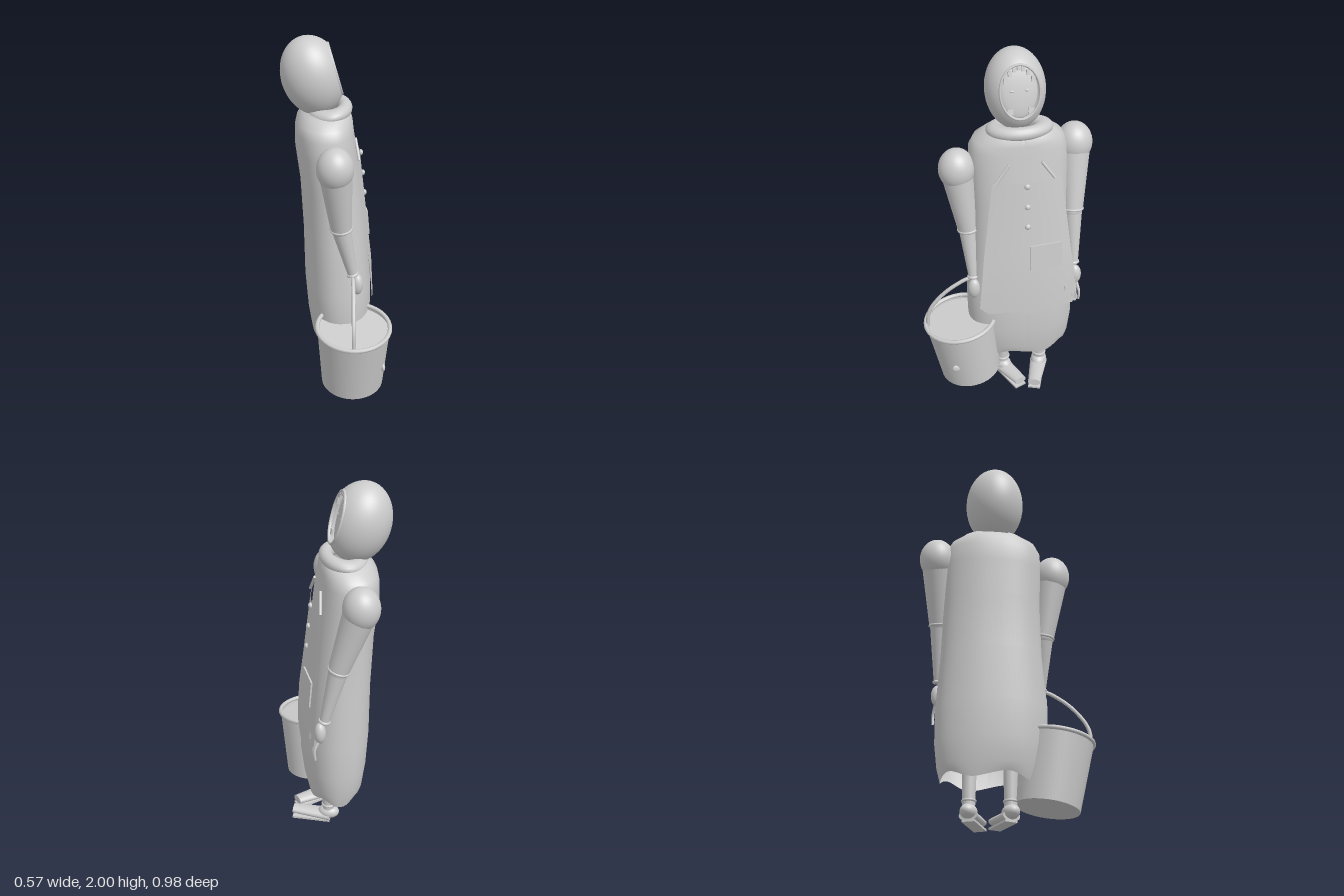
import * as THREE from 'three';

const V = (x, y, z) => new THREE.Vector3(x, y, z);

export function createModel() {
  const root = new THREE.Group();
  root.name = 'figureWithBucket';
  const clay = new THREE.MeshStandardMaterial({ color: 0xcccccc, side: THREE.DoubleSide });
  clay.name = 'pale grey';

  const add = (name, geo, parent = root, pos = [0, 0, 0]) => {
    const m = new THREE.Mesh(geo, clay);
    m.name = name;
    m.position.set(...pos);
    parent.add(m);
    return m;
  };
  const ball = (name, r, pos, parent = root) => {
    const m = add(name, new THREE.SphereGeometry(1, 32, 20), parent, pos);
    m.scale.set(...r);
    return m;
  };
  // tapered round limb between two points
  const limb = (name, a, b, ra, rb, parent = root) => {
    const d = b.clone().sub(a);
    const m = add(name, new THREE.CylinderGeometry(rb, ra, d.length(), 24), parent);
    m.position.copy(a).addScaledVector(d, 0.5);
    m.quaternion.setFromUnitVectors(V(0, 1, 0), d.normalize());
    return m;
  };
  // ring whose axis follows a direction
  const ring = (name, at, axis, r, tube, parent = root) => {
    const m = add(name, new THREE.TorusGeometry(r, tube, 10, 40), parent);
    m.position.copy(at);
    m.quaternion.setFromUnitVectors(V(0, 0, 1), axis.clone().normalize());
    return m;
  };
  const tube = (name, pts, r, parent = root) =>
    add(name, new THREE.TubeGeometry(new THREE.CatmullRomCurve3(pts), 32, r, 8), parent);
  // sheet from a grid of points
  const grid = (rows, cols, fn) => {
    const p = [], idx = [];
    for (let i = 0; i <= rows; i++) for (let j = 0; j <= cols; j++) p.push(...fn(i, j));
    for (let i = 0; i < rows; i++) for (let j = 0; j < cols; j++) {
      const a = i * (cols + 1) + j, b = a + cols + 1;
      idx.push(a, b, a + 1, b, b + 1, a + 1);
    }
    const g = new THREE.BufferGeometry();
    g.setAttribute('position', new THREE.Float32BufferAttribute(p, 3));
    g.setIndex(idx);
    g.computeVertexNormals();
    return g;
  };

  // Robe: sections of y, back x, front x, right z, left z
  const sections = [
    [0.21, -0.11, 0.17, -0.335, 0.17], [0.27, -0.13, 0.185, -0.355, 0.2],
    [0.4, -0.15, 0.2, -0.37, 0.225], [0.6, -0.165, 0.2, -0.37, 0.23],
    [0.9, -0.17, 0.173, -0.35, 0.2], [1.2, -0.185, 0.14, -0.34, 0.19],
    [1.4, -0.21, 0.115, -0.34, 0.195], [1.5, -0.21, 0.1, -0.335, 0.19],
    [1.55, -0.2, 0.095, -0.31, 0.165], [1.59, -0.17, 0.085, -0.26, 0.11],
    [1.62, -0.12, 0.06, -0.19, 0.05],
  ];
  add('robe', grid(sections.length - 1, 64, (i, j) => {
    const [y, xb, xf, zr, zl] = sections[i], t = -j / 64 * Math.PI * 2;
    const p = v => Math.sign(v) * Math.abs(v) ** 0.87;
    const hem = i === 0 ? 0.018 * Math.sin(t * 5) : 0;
    return [(xb + xf) / 2 + (xf - xb) / 2 * p(Math.cos(t)), y + hem,
      (zl + zr) / 2 + (zl - zr) / 2 * p(Math.sin(t))];
  }));

  // Collar
  const collar = add('collar', new THREE.TorusGeometry(0.1, 0.04, 16, 48).rotateX(Math.PI / 2), root, [-0.03, 1.6, -0.075]);
  collar.scale.set(0.9, 0.9, 1.28);
  collar.rotation.z = 0.12;

  // Hood: open ellipsoid whose pole is the face opening
  const head = new THREE.Group();
  head.name = 'head';
  head.position.set(-0.115, 1.788, -0.07);
  head.rotation.z = 0.27;
  root.add(head);
  const open = 0.73;
  const hoodGeo = s => new THREE.SphereGeometry(1, 48, 28, 0, Math.PI * 2, open, Math.PI - open)
    .rotateZ(-Math.PI / 2).scale(0.165 * s, 0.215 * s, 0.16 * s);
  add('hood', hoodGeo(1), head);
  const brim = add('hoodRim', new THREE.TorusGeometry(1, 0.055, 8, 48).rotateY(Math.PI / 2), head, [0.12, 0, 0]);
  brim.scale.set(0.18, 0.141, 0.105);
  // Face plate, eyes, mask jaw and fringe
  ball('face', [0.022, 0.142, 0.1], [0.088, 0, 0], head);
  for (const s of [-1, 1]) {
    ball('eye', [0.006, 0.006, 0.012], [0.109, 0.005, s * 0.04], head);
    add('cheekGuard', new THREE.BoxGeometry(0.01, 0.03, 0.03), head, [0.112, -0.1, s * 0.055]);
  }
  for (let i = -3; i <= 3; i++) {
    add('fringeTooth', new THREE.BoxGeometry(0.015, 0.028, 0.018), head,
      [0.118, 0.126 - 0.007 * i * i, i * 0.024]);
  }

  // Apron: thin bent sheet with a ragged hem
  const apronRows = [[1.36, 0.137, 0.1, -0.27], [1.15, 0.16, 0.128, -0.3], [0.93, 0.182, 0.157, -0.325],
    [0.75, 0.203, 0.175, -0.35], [0.56, 0.212, 0.19, -0.37]];
  const rag = [0.035, -0.005, -0.005, 0, -0.005, -0.01, -0.035, -0.01, -0.01, -0.035, -0.005, -0.005, 0.01];
  add('apron', grid(4, 12, (i, j) => {
    const [y, x, zl, zr] = apronRows[i], t = j / 6 - 1;
    return [x - 0.03 * t * t, y + (i === 4 ? rag[j] : 0), zl + (zr - zl) * j / 12];
  }));
  // Straps, buttons, pocket
  limb('strap', V(0.105, 1.46, 0.01), V(0.118, 1.36, 0.085), 0.008, 0.008);
  limb('strap', V(0.105, 1.46, -0.165), V(0.118, 1.36, -0.235), 0.008, 0.008);
  [[0.145, 1.34], [0.157, 1.22], [0.168, 1.1]].forEach(([x, y]) => ball('button', [0.012, 0.016, 0.016], [x, y, -0.08]));
  const pocket = add('pocket', new THREE.BoxGeometry(0.009, 0.15, 0.18), root, [0.185, 0.905, -0.18]);
  pocket.rotation.set(0, 0.07, 0.09);

  // Arms
  const arm = (side, shoulder, elbow, wrist, hand) => {
    const g = new THREE.Group();
    g.name = side + 'Arm';
    root.add(g);
    ball('shoulderPuff', [0.098, 0.115, 0.098], shoulder.toArray(), g);
    limb('upperSleeve', shoulder, elbow, 0.09, 0.057, g);
    ball('elbow', [0.055, 0.055, 0.055], elbow.toArray(), g);
    ring('sleeveCuff', elbow, elbow.clone().sub(shoulder), 0.055, 0.007, g);
    limb('forearm', elbow, wrist, 0.053, 0.026, g);
    ring('wristBand', wrist, wrist.clone().sub(elbow), 0.025, 0.009, g);
    ball('hand', [0.032, 0.062, 0.036], hand.toArray(), g);
    return g;
  };
  arm('left', V(-0.027, 1.395, 0.263), V(0.01, 1.03, 0.215), V(0.073, 0.745, 0.205), V(0.1, 0.68, 0.205));
  const free = arm('right', V(-0.065, 1.455, -0.385), V(0.045, 1.1, -0.36), V(0.12, 0.79, -0.355), V(0.145, 0.72, -0.358));
  // Fingers and thumb of the free hand
  for (let i = 0; i < 4; i++) {
    const z = -0.318 - i * 0.02, y = 0.55 + 0.007 * Math.abs(i - 1);
    tube('finger', [V(0.15, 0.68, z * 0.5 - 0.178), V(0.178, 0.62, z), V(0.175, y, z)], 0.008, free);
  }
  tube('thumb', [V(0.15, 0.72, -0.33), V(0.18, 0.69, -0.293), V(0.185, 0.65, -0.298)], 0.009, free);

  // Legs and shoes, toes turned inward
  const leg = (side, heel, tip) => {
    const g = new THREE.Group();
    g.name = side + 'Leg';
    g.position.copy(heel);
    const d = tip.clone().sub(heel);
    g.rotation.y = Math.atan2(-d.z, d.x);
    root.add(g);
    limb('shin', V(0.01, 0.05, 0), V(0.01, 0.4, 0), 0.033, 0.042, g);
    ring('ankleCuff', V(0.01, 0.11, 0), V(0, 1, 0), 0.034, 0.007, g);
    ball('heel', [0.06, 0.04, 0.045], [0.01, 0.055, 0], g);
    const toe = add('toe', new THREE.CylinderGeometry(0.036, 0.05, d.length(), 24).rotateZ(-Math.PI / 2), g,
      [d.length() / 2, 0.04, 0]);
    toe.scale.y = 0.6;
    toe.rotation.z = 0.06;
    add('sole', new THREE.BoxGeometry(d.length(), 0.012, 0.07), g, [d.length() / 2, 0.006, 0]);
  };
  leg('left', V(0.05, 0, 0.04), V(0.23, 0, -0.035));
  leg('right', V(0.06, 0, -0.185), V(0.262, 0, -0.108));

  // Bucket, tilted outward
  const bucket = new THREE.Group();
  bucket.name = 'bucket';
  bucket.position.set(0.073, 0.08, 0.23);
  bucket.rotation.x = 0.145;
  root.add(bucket);
  add('bucketWall', new THREE.CylinderGeometry(0.2, 0.172, 0.38, 48, 1, true), bucket, [0, 0.19, 0]);
  add('bucketBase', new THREE.CircleGeometry(0.172, 48).rotateX(Math.PI / 2), bucket);
  add('bucketFill', new THREE.CircleGeometry(0.197, 48).rotateX(-Math.PI / 2), bucket, [0, 0.355, 0]);
  ring('bucketRim', V(0, 0.38, 0), V(0, 1, 0), 0.2, 0.012, bucket);
  ball('rivet', [0.012, 0.025, 0.025], [0.16, 0.155, 0.09], bucket);

  // Handle held by the left hand
  tube('bucketHandle', [V(0.055, 0.42, 0.47), V(0.055, 0.52, 0.458), V(0.06, 0.61, 0.4), V(0.068, 0.69, 0.31),
    V(0.073, 0.735, 0.21), V(0.073, 0.69, 0.14), V(0.073, 0.58, 0.1), V(0.073, 0.48, 0.095)], 0.011);

  return root;
}
